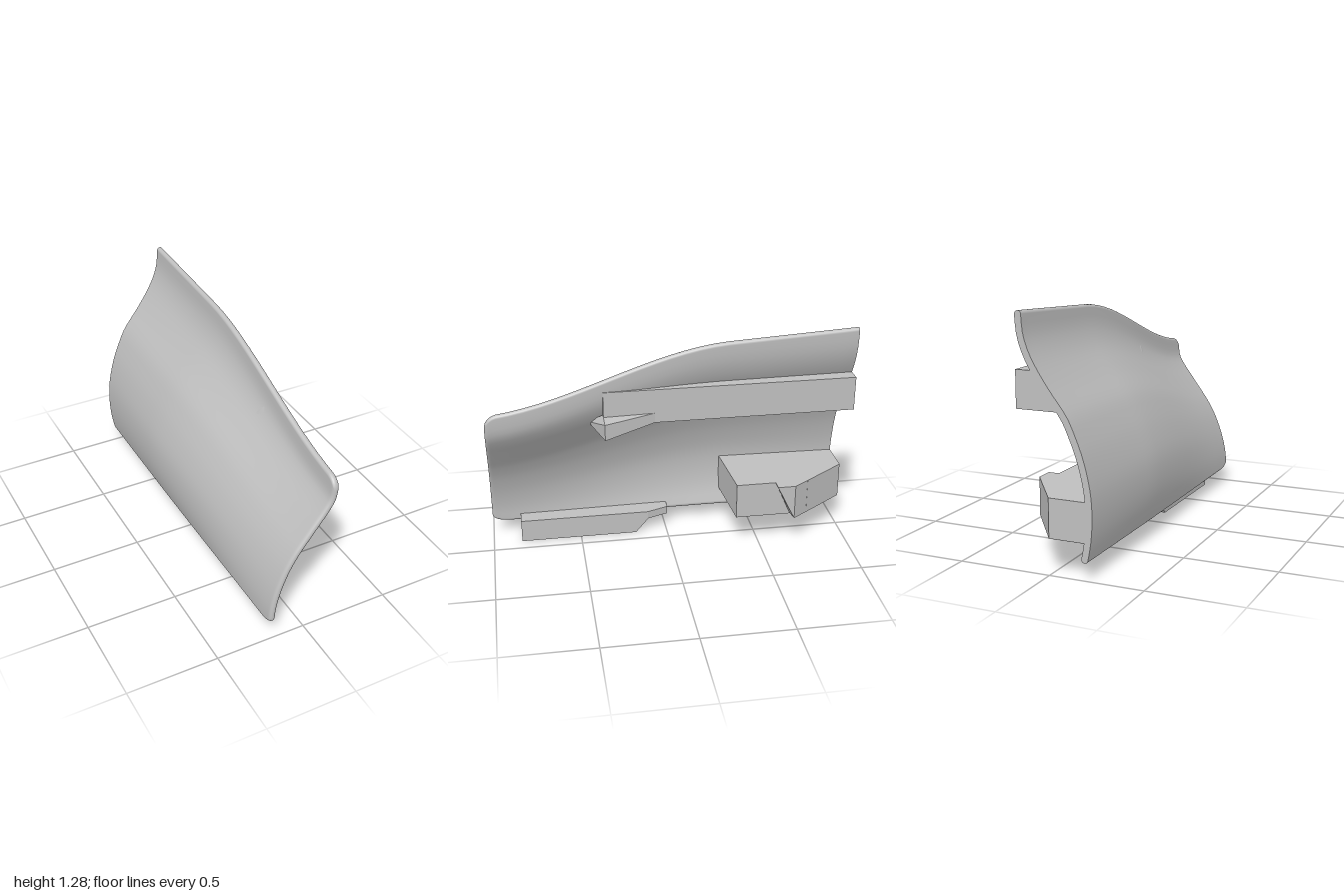
import * as THREE from 'three';
import { ConvexGeometry } from 'three/addons/geometries/ConvexGeometry.js';

const HALF = 0.0175; // half thickness of the panel

// Centre lines (x, y) of the panel at the front, the middle and the back
const FRONT = [[-0.186, 0.088], [-0.181, 0.17], [-0.166, 0.25], [-0.142, 0.33], [-0.105, 0.42], [-0.06, 0.5],
  [-0.025, 0.55], [0.045, 0.645], [0.1, 0.72], [0.138, 0.79], [0.149, 0.9]];
const MIDDLE = [[-0.188, 0.088], [-0.22, 0.2], [-0.233, 0.32], [-0.223, 0.45], [-0.18, 0.59], [-0.13, 0.7],
  [-0.085, 0.78], [0.015, 0.905], [0.095, 1.02], [0.137, 1.13], [0.149, 1.24]];
const BACK = [[-0.188, 0.088], [-0.208, 0.2], [-0.215, 0.32], [-0.205, 0.45], [-0.17, 0.595], [-0.125, 0.71],
  [-0.085, 0.79], [0.013, 0.92], [0.095, 1.05], [0.137, 1.16], [0.149, 1.28]];

// Blended centre line at a given z
function sectionAt(z) {
  const s = Math.min(1, (1 - z) / 1.3);
  const w = 0.75 * s * s * (3 - 2 * s) + 0.25 * s;
  const v = Math.max(0, (-0.3 - z) / 0.7);
  const mix = THREE.MathUtils.lerp;
  return new THREE.SplineCurve(FRONT.map((p, i) => new THREE.Vector2(
    mix(mix(p[0], MIDDLE[i][0], w), BACK[i][0], v),
    mix(mix(p[1], MIDDLE[i][1], w), BACK[i][1], v))));
}

// x of the panel's centre at a height
function xAt(y, z) {
  const curve = sectionAt(z);
  let lo = 0, hi = 1;
  for (let i = 0; i < 25; i++) {
    const m = (lo + hi) / 2;
    if (curve.getPoint(m).y < y) lo = m; else hi = m;
  }
  return curve.getPoint(lo).x;
}

// Inset of a rounded front corner
function corner(z, length, depth) {
  const t = Math.max(0, (z - 1 + length) / length);
  return depth * (1 - Math.sqrt(Math.max(0, 1 - t * t)));
}

function panelGeometry() {
  const zs = [1, 0.998, 0.994, 0.988, 0.98, 0.97, 0.955, 0.935, 0.91];
  for (let i = 0; i <= 24; i++) zs.push(0.87 - 1.87 * i / 24);
  const ends = 5, n = 40, ring = 2 * n - 2;
  const pos = [], index = [];

  zs.forEach(z => {
    const curve = sectionAt(z), length = curve.getLength();
    const start = corner(z, 0.1, 0.04), end = length - corner(z, 0.07, 0.07);
    const rim = Math.max(0, (z - 1 + HALF) / HALF);
    const thick = HALF * Math.max(0.15, Math.sqrt(Math.max(0, 1 - rim * rim)));
    const outer = [], inner = [];
    for (let j = 0; j < n; j++) {
      // distances bunch up at both rounded ends
      const k = Math.min(j, n - 1 - j);
      let d;
      if (k < ends) {
        const e = HALF * (1 - Math.cos(k / ends * Math.PI / 2));
        d = j < n / 2 ? start + e : end - e;
      } else {
        d = start + HALF + (end - start - 2 * HALF) * (j - ends) / (n - 1 - 2 * ends);
      }
      const u = THREE.MathUtils.clamp(d / length, 0, 1);
      const p = curve.getPointAt(u), t = curve.getTangentAt(u);
      const h = thick * (k < ends ? Math.sin(k / ends * Math.PI / 2) : 1);
      outer.push([p.x - t.y * h, p.y + t.x * h, z]);
      inner.push([p.x + t.y * h, p.y - t.x * h, z]);
    }
    pos.push(...outer.flat(), ...inner.slice(1, -1).reverse().flat());
  });

  for (let i = 0; i < zs.length - 1; i++) {
    for (let j = 0; j < ring; j++) {
      const a = i * ring + j, b = i * ring + (j + 1) % ring;
      index.push(a, b, a + ring, b, b + ring, a + ring);
    }
  }
  // front cap shares its rim, back cap has its own sharp rim
  const last = (zs.length - 1) * ring, cap = zs.length * ring;
  pos.push(...pos.slice(last * 3));
  for (let j = 0; j < n - 1; j++) {
    const p = (ring - j) % ring, q = ring - j - 1;
    index.push(j, q, j + 1, j, p, q);
    index.push(cap + j, cap + j + 1, cap + q, cap + j, cap + q, cap + p);
  }
  const g = new THREE.BufferGeometry();
  g.setAttribute('position', new THREE.Float32BufferAttribute(pos, 3));
  g.setIndex(index);
  g.computeVertexNormals();
  return g;
}

const hull = points => new ConvexGeometry(points.map(p => new THREE.Vector3(...p)));

// Upright convex prism from an (x, z) footprint
const prism = (foot, y0, y1) => hull(foot.flatMap(([x, z]) => [[x, y0, z], [x, y1, z]]));

// Long rail whose inner edge follows the panel
function railGeometry() {
  const y0 = 0.81, y1 = 1.0, face = 0.166, steps = 12;
  const rings = [];
  for (let i = 0; i <= steps; i++) {
    const z = 0.375 - 1.375 * i / steps;
    rings.push([[xAt(y0, z), y0, z], [xAt(y1, z), y1, z], [face, y1, z], [face, y0, z]]);
  }
  const pos = [];
  const quad = (a, b, c, d) => pos.push(...a, ...b, ...d, ...b, ...c, ...d);
  for (let i = 0; i < steps; i++) {
    for (let j = 0; j < 4; j++) {
      const k = (j + 1) % 4;
      quad(rings[i][j], rings[i][k], rings[i + 1][k], rings[i + 1][j]);
    }
  }
  const [a, b, c, d] = rings[0];
  quad(d, c, b, a);
  quad(...rings[steps]);
  const g = new THREE.BufferGeometry();
  g.setAttribute('position', new THREE.Float32BufferAttribute(pos, 3));
  g.computeVertexNormals();
  return g;
}

export function createModel() {
  const model = new THREE.Group();
  model.name = 'curvedPanel';
  const grey = new THREE.MeshStandardMaterial({ color: 0xbfbfbf });
  grey.name = 'plain grey';
  const add = (name, geometry) => {
    const mesh = new THREE.Mesh(geometry, grey);
    mesh.name = name;
    model.add(mesh);
  };

  add('panelShell', panelGeometry());
  add('upperRail', railGeometry());

  // Wedge at the front of the rail
  add('railWedge', hull([
    [0.166, 0.81, 0.1], [0.166, 0.865, 0.1], [0.02, 0.81, 0.1],
    [0.247, 0.76, 0.375], [0.247, 0.85, 0.375], [0.14, 0.862, 0.375],
    [0.05, 0.755, 0.39], [0.05, 0.79, 0.45]]));

  // Block on the inner face near the back, with a slanted fin
  add('mountBlock', prism([[-0.218, -0.33], [0.166, -0.36], [0.166, -0.765], [0, -1], [-0.208, -1]], 0.187, 0.39));
  add('blockFin', hull([
    [0.16, 0.39, -0.58], [0.225, 0.39, -0.58], [0.225, 0.39, -0.68], [0.16, 0.39, -0.773],
    [0.16, 0.187, -0.67], [0.225, 0.187, -0.68], [0.16, 0.187, -0.773]]));

  // Angled flange along the lower edge
  add('flangeShelf', prism([[-0.185, 0.84], [-0.075, 0.84], [-0.075, 0.11], [-0.12, -0.01], [-0.185, -0.01]], 0.085, 0.13));
  const lip = [[0.84, 0], [0.84, 0.13], [0.11, 0.13], [0.11, 0.083], [0.18, 0]];
  add('flangeLip', hull(lip.flatMap(([z, y]) => [[-0.115, y, z], [-0.075, y, z]])));

  return model;
}
